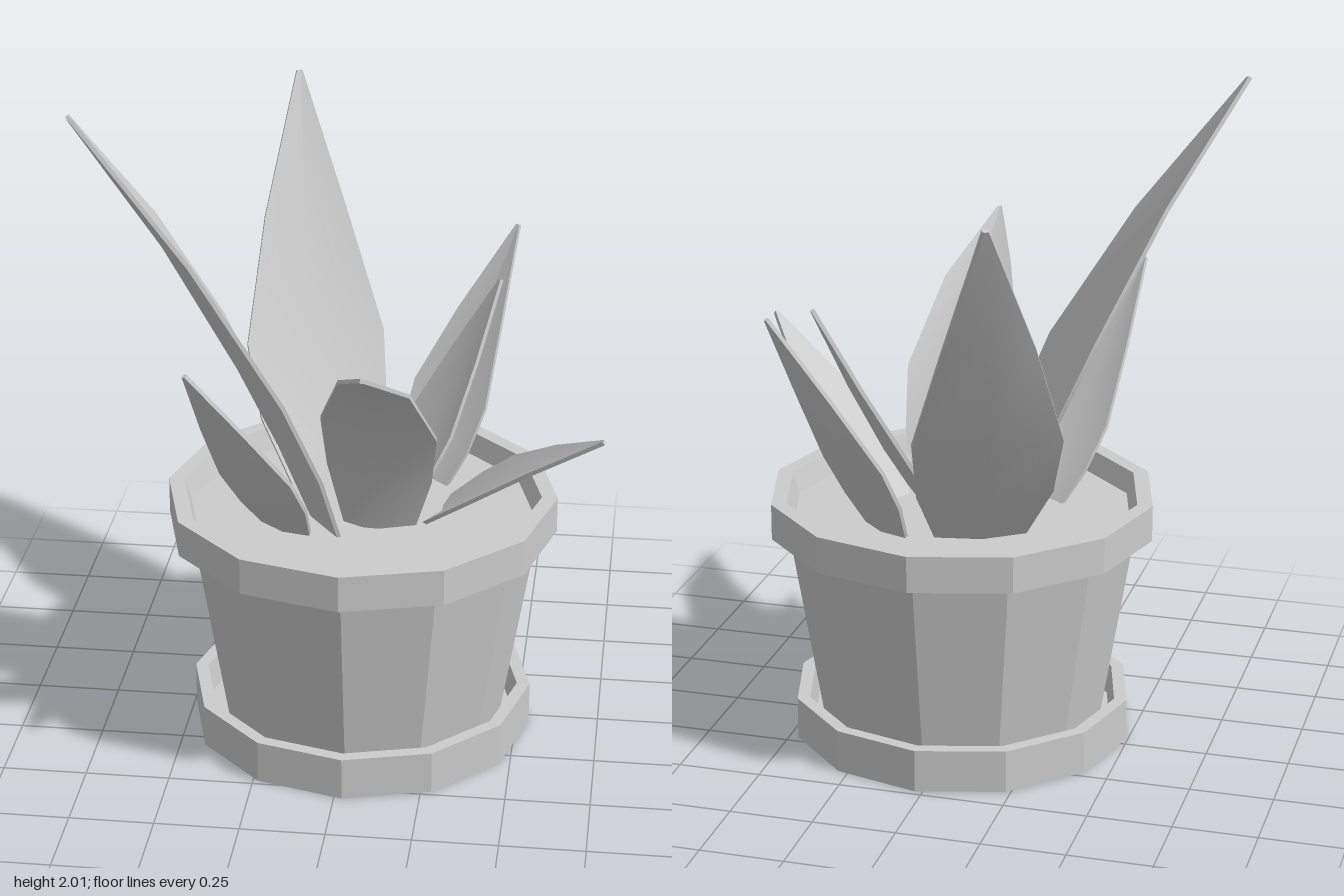
import * as THREE from 'three';
import { toCreasedNormals } from 'three/addons/utils/BufferGeometryUtils.js';

const V = (a) => new THREE.Vector3(...a);
const flat = new THREE.MeshStandardMaterial({ color: 0xcccccc, flatShading: true });
const smooth = new THREE.MeshStandardMaterial({ color: 0xcccccc, side: THREE.DoubleSide });

// Twelve-sided turned part from [radius, height] points, listed bottom to top on the outside
function turned(name, profile) {
  const geometry = new THREE.LatheGeometry(profile.map(([r, y]) => new THREE.Vector2(r, y)), 12);
  const mesh = new THREE.Mesh(geometry, flat);
  mesh.name = name;
  return mesh;
}

// Leaf outline: position along the midrib and relative width
const ROWS = [[0, 0.62], [0.2, 0.92], [0.4, 1], [0.7, 0.6], [1, 0.04]];
const THICKNESS = 0.012;

// Thin cupped blade lofted along a curved midrib; "across" is its full width vector
function leafGeometry(base, bend, tip, across) {
  const midrib = new THREE.QuadraticBezierCurve3(V(base), V(bend), V(tip));
  const width = V(across);
  const positions = [], index = [];
  ROWS.forEach(([t, w]) => {
    const centre = midrib.getPoint(t);
    const out = width.clone().cross(midrib.getTangent(t)).normalize();
    const cup = 0.09 * width.length() * w;
    // three points over the outer face, then three back over the inner face
    [[-1, 1], [0, 1], [1, 1], [1, -1], [0, -1], [-1, -1]].forEach(([side, face]) => {
      const p = centre.clone()
        .addScaledVector(width, side * w / 2)
        .addScaledVector(out, face * THICKNESS / 2 + (side === 0 ? cup / 2 : -cup / 2));
      positions.push(p.x, p.y, p.z);
    });
  });
  const quad = (a, b, c, d) => index.push(a, b, c, a, c, d);
  for (let i = 0; i < ROWS.length - 1; i++) {
    for (let j = 0; j < 6; j++) {
      const k = (j + 1) % 6;
      quad(i * 6 + j, i * 6 + k, i * 6 + 6 + k, i * 6 + 6 + j);
    }
  }
  // end caps
  const e = (ROWS.length - 1) * 6;
  quad(e, e + 1, e + 4, e + 5);
  quad(e + 1, e + 2, e + 3, e + 4);
  quad(5, 4, 1, 0);
  quad(4, 3, 2, 1);
  const geometry = new THREE.BufferGeometry();
  geometry.setAttribute('position', new THREE.Float32BufferAttribute(positions, 3));
  geometry.setIndex(index);
  return toCreasedNormals(geometry, 0.9);
}

// Each leaf: base, bend point, tip, width vector
const LEAVES = {
  tallLeftLeaf: [[-0.1, 0.69, 0.1], [-0.3, 1.34, 0.175], [-0.755, 2, 0.35], [0.24, -0.11, 0.42]],
  tallBackLeaf: [[-0.09, 0.69, -0.17], [-0.21, 1.09, -0.447], [-0.27, 1.8, -0.78], [-0.4, 0, 0.17]],
  frontLeaf: [[0.085, 0.69, 0.15], [0.12, 1.27, 0.335], [0.11, 1.44, 0.78], [0.325, -0.09, -0.08]],
  lowSideLeaf: [[0.25, 0.69, 0.02], [0.44, 0.9, 0.183], [0.75, 1.14, 0.44], [0.13, 0.05, -0.24]],
  backCornerLeaf: [[0.19, 0.69, -0.2], [0.255, 0.945, -0.338], [0.44, 1.42, -0.51], [-0.23, 0.02, -0.16]],
  frontCornerLeaf: [[-0.18, 0.69, 0.2], [-0.257, 0.957, 0.412], [-0.4, 1.36, 0.62], [0.23, 0.04, 0.15]],
  smallInnerLeaf: [[0.11, 0.69, 0.02], [0.238, 0.945, -0.117], [0.41, 1.36, -0.2], [-0.15, -0.02, -0.19]],
};

export function createModel() {
  const model = new THREE.Group();
  model.name = 'pottedPlant';

  // Pot, saucer and soil share an axis slightly off the middle of the whole plant
  const container = new THREE.Group();
  container.name = 'container';
  container.position.set(0.023, 0, 0.035);
  container.add(
    turned('saucer', [[0, 0], [0.517, 0], [0.517, 0.13], [0.478, 0.13], [0.465, 0.04], [0, 0.04]]),
    turned('pot', [[0, 0.035], [0.428, 0.035], [0.53, 0.655], [0.585, 0.655],
      [0.585, 0.765], [0.538, 0.765], [0.515, 0.69]]),
    turned('soil', [[0.518, 0.7], [0, 0.7]]),
  );
  model.add(container);

  const leaves = new THREE.Group();
  leaves.name = 'leaves';
  for (const [name, shape] of Object.entries(LEAVES)) {
    const leaf = new THREE.Mesh(leafGeometry(...shape), smooth);
    leaf.name = name;
    leaves.add(leaf);
  }
  model.add(leaves);
  return model;
}
